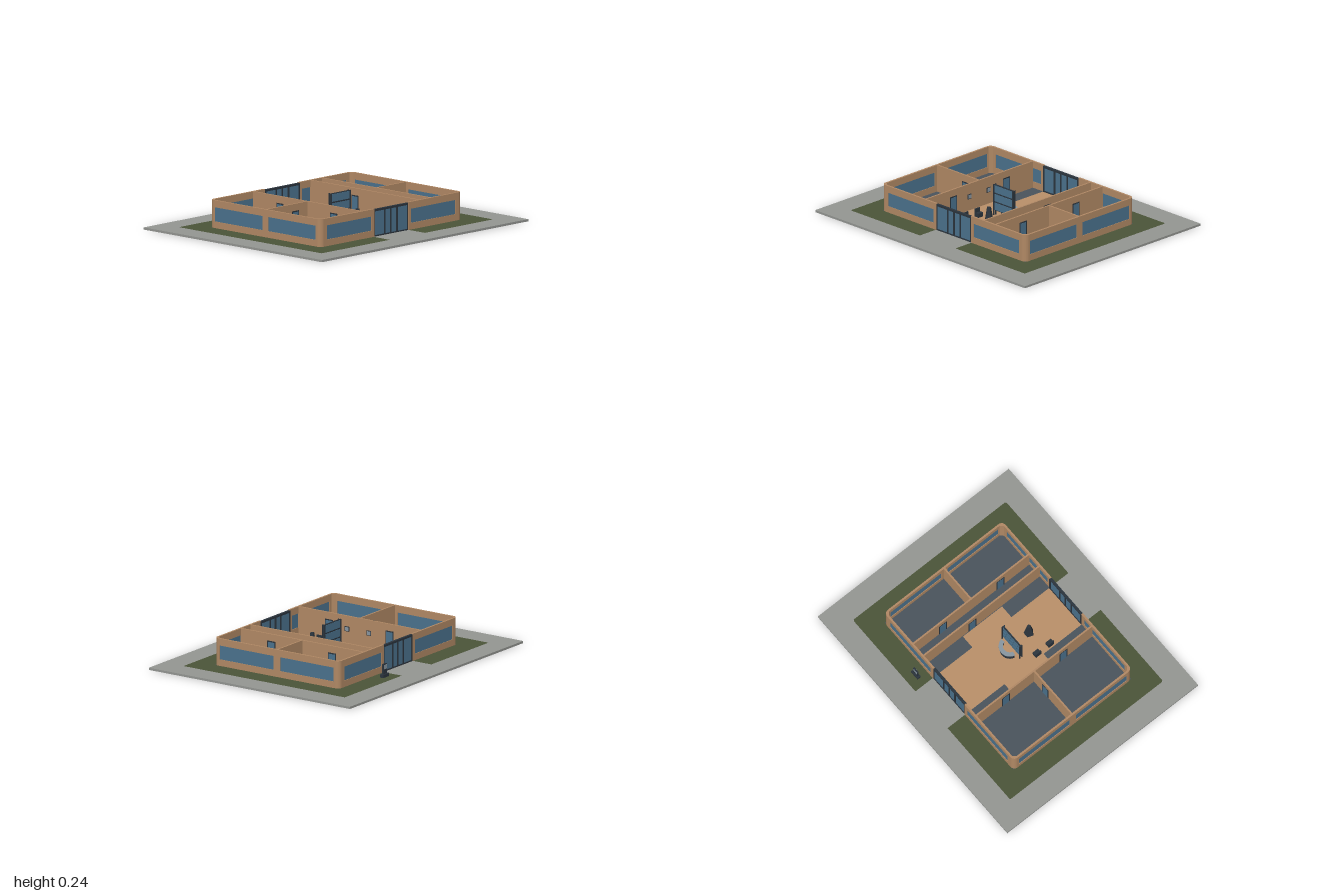
import * as THREE from 'three';

const material = (name, color) => {
  const m = new THREE.MeshStandardMaterial({ color });
  m.name = name;
  return m;
};

export function createModel() {
  const concrete = material('concrete', 0x939591);
  const grass = material('grass', 0x4b5438);
  const carpet = material('carpet', 0x4a535c);
  const wood = material('woodFloor', 0xb98f68);
  const wallMat = material('wall', 0xb08864);
  const glass = material('glass', 0x4a718c);
  const dark = material('darkMetal', 0x2b343d);
  const light = material('paleMetal', 0x87959f);

  const model = new THREE.Group();
  model.name = 'pavilion';
  const BASE = 0.015, TOP = 0.205, H = TOP - BASE;

  const add = (parent, name, geometry, mat, x = 0, y = 0, z = 0, ry = 0) => {
    const mesh = new THREE.Mesh(geometry, mat);
    mesh.name = name;
    mesh.position.set(x, y, z);
    mesh.rotation.y = ry;
    parent.add(mesh);
    return mesh;
  };
  const box = (parent, name, mat, w, h, d, x, y, z, ry = 0) =>
    add(parent, name, new THREE.BoxGeometry(w, h, d), mat, x, y, z, ry);
  const toShape = (pts) => new THREE.Shape(pts.map(([x, z]) => new THREE.Vector2(x, z)));

  // Plan outline (x, z) raised from y to y + height
  const slab = (parent, name, shape, mat, y, height) => {
    const g = new THREE.ExtrudeGeometry(shape, { depth: height, bevelEnabled: false, curveSegments: 6 });
    g.rotateX(Math.PI / 2).translate(0, y + height, 0);
    return add(parent, name, g, mat);
  };

  // Upright panel with rectangular openings [x0, x1, y0, y1]
  const panel = (parent, name, length, openings, thick, x, z, ry = 0) => {
    const half = length / 2;
    const shape = toShape([[-half, BASE], [half, BASE], [half, TOP], [-half, TOP]]);
    for (const [a, b, c, d] of openings) {
      shape.holes.push(new THREE.Path([[a, c], [a, d], [b, d], [b, c]].map((p) => new THREE.Vector2(...p))));
    }
    const g = new THREE.ExtrudeGeometry(shape, { depth: thick, bevelEnabled: false }).translate(0, 0, -thick / 2);
    const group = new THREE.Group();
    group.name = name + 'Group';
    group.position.set(x, 0, z);
    group.rotation.y = ry;
    parent.add(group);
    add(group, name, g, wallMat);
    for (const [a, b, c, d] of openings) {
      box(group, 'windowPane', glass, b - a, d - c, 0.006, (a + b) / 2, (c + d) / 2, 0);
    }
  };

  // Ground: paving with the garden and building set into it
  const paving = toShape([[-0.83, -1], [0.83, -1], [0.83, 1], [-0.83, 1]]);
  const cut = [[-0.51, -0.17], [-0.665, -0.17], [-0.665, -0.83], [0.665, -0.83], [0.665, -0.17], [0.51, -0.17]];
  paving.holes.push(toShape([...cut, ...cut.map(([x, z]) => [-x, -z])]));
  slab(model, 'paving', paving, concrete, 0, BASE);

  const hall = [[-0.51, -0.17], [-0.17, -0.17], [-0.17, -0.27], [0.17, -0.27], [0.17, -0.17], [0.51, -0.17]];
  slab(model, 'hallFloor', toShape([...hall, ...hall.map(([x, z]) => [-x, -z])]), wood, 0, BASE);

  // Two matching wings, one turned to the back
  const R = 0.035, X = 0.515, Z = 0.685, T = 0.014;
  for (const [name, turn] of [['frontWing', 0], ['backWing', Math.PI]]) {
    const wing = new THREE.Group();
    wing.name = name;
    wing.rotation.y = turn;
    model.add(wing);

    slab(wing, 'lawn', toShape([[-0.665, 0.17], [-0.51, 0.17], [-0.51, 0.68], [0.51, 0.68], [0.51, 0.17],
      [0.665, 0.17], [0.665, 0.82], [0.655, 0.83], [-0.655, 0.83], [-0.665, 0.82]]), grass, 0, BASE);
    slab(wing, 'roomFloor', toShape([[-0.51, 0.17], [-0.17, 0.17], [-0.17, 0.27], [0.17, 0.27], [0.17, 0.17],
      [0.51, 0.17], [0.51, 0.68], [-0.51, 0.68]]), carpet, 0, BASE);

    panel(wing, 'outerWall', 2 * (X - R), [[-0.47, -0.027, 0.06, 0.157], [0.027, 0.47, 0.06, 0.157]], T, 0, Z - T / 2);
    const sideLength = Z - R - 0.165, mid = 0.165 + sideLength / 2;
    for (const s of [-1, 1]) {
      panel(wing, 'sideWall', sideLength, [[-0.215, 0.215, 0.06, 0.157]], T, s * (X - T / 2), mid, Math.PI / 2);
      // Rounded corner, straight across on the inside
      const corner = new THREE.Shape();
      const a = s > 0 ? 0 : Math.PI, cx = s * (X - R), cz = Z - R;
      corner.moveTo(s * X, cz);
      corner.absarc(cx, cz, R, a, Math.PI / 2, s < 0);
      corner.lineTo(cx, Z - T);
      corner.lineTo(s * (X - T), cz);
      slab(wing, 'roundedCorner', corner, wallMat, BASE, H);
    }
  }

  // Inner partitions
  const inner = (length, x, z, ry) => panel(model, 'partition', length, [], 0.012, x, z, ry);
  inner(1.01, 0, 0.275, 0);
  inner(1.01, 0, -0.28, 0);
  inner(1.01, 0, -0.39, 0);
  inner(0.4, 0, 0.478, Math.PI / 2);
  inner(0.285, 0, -0.535, Math.PI / 2);

  // Inner doors: dark frame, glazed leaf
  for (const [x, z, ry] of [[-0.25, 0.275, 0], [0.25, 0.275, 0], [-0.25, -0.39, 0], [0.25, -0.39, 0],
    [-0.085, -0.28, 0], [0, 0.4, Math.PI / 2]]) {
    const door = new THREE.Group();
    door.name = 'door';
    door.position.set(x, BASE, z);
    door.rotation.y = ry;
    model.add(door);
    box(door, 'doorFrame', dark, 0.066, 0.142, 0.016, 0, 0.071, 0);
    box(door, 'doorLeaf', glass, 0.052, 0.132, 0.019, 0, 0.068, 0);
  }

  // Small framed boards on the hall wall
  for (const x of [-0.08, 0.1]) {
    box(model, 'boardFrame', dark, 0.036, 0.034, 0.006, x, 0.115, 0.267);
    box(model, 'board', light, 0.028, 0.026, 0.008, x, 0.115, 0.267);
  }

  // Glazed entrances at both ends of the hall
  for (const s of [-1, 1]) {
    const entrance = new THREE.Group();
    entrance.name = 'entrance';
    entrance.position.x = s * 0.505;
    model.add(entrance);
    box(entrance, 'lintel', dark, 0.018, 0.014, 0.336, 0, 0.194, 0);
    box(entrance, 'sill', dark, 0.016, 0.008, 0.336, 0, 0.019, 0);
    for (const z of [-0.163, -0.06, 0, 0.06, 0.163]) {
      box(entrance, 'mullion', dark, 0.016, H - 0.012, 0.011, 0, 0.105, z);
    }
    box(entrance, 'glazing', glass, 0.006, 0.17, 0.32, 0, 0.105, 0);
  }

  // Display wall in the middle of the hall
  for (const z of [-0.092, 0.092]) {
    for (const x of [0.025, 0.045]) box(model, 'displayPost', dark, 0.007, 0.222, 0.007, x, 0.126, z);
  }
  box(model, 'displayFrame', dark, 0.01, 0.185, 0.19, 0.035, 0.1425, 0);
  for (const y of [0.08, 0.142, 0.204]) box(model, 'displayPanel', glass, 0.014, 0.052, 0.172, 0.035, y, 0);

  // Curved reception desk with a pale top
  const arc = (r0, r1) => {
    const s = new THREE.Shape();
    s.absarc(0.015, 0, r1, Math.PI * 0.56, Math.PI * 1.44, false);
    s.absarc(0.015, 0, r0, Math.PI * 1.44, Math.PI * 0.56, true);
    return s;
  };
  slab(model, 'deskBody', arc(0.052, 0.068), dark, BASE, 0.06);
  slab(model, 'deskTop', arc(0.046, 0.075), light, 0.075, 0.007);

  // Tapering five-sided stand
  const stand = new THREE.CylinderGeometry(0.014, 0.036, 0.125, 5).toNonIndexed();
  stand.computeVertexNormals();
  add(model, 'taperedStand', stand, dark, 0.19, BASE + 0.0625, -0.01, 0.3);

  // Pair of low seats
  for (const x of [0.135, 0.247]) {
    box(model, 'seat', dark, 0.046, 0.03, 0.036, x, 0.03, 0.142);
    box(model, 'seatBack', dark, 0.046, 0.03, 0.008, x, 0.058, 0.156);
  }

  // Information post outside
  box(model, 'postBase', dark, 0.027, 0.022, 0.068, -0.587, 0.026, -0.26);
  box(model, 'postPanel', dark, 0.011, 0.07, 0.046, -0.587, 0.072, -0.26);
  box(model, 'postScreen', light, 0.014, 0.03, 0.034, -0.587, 0.086, -0.26);

  return model;
}
